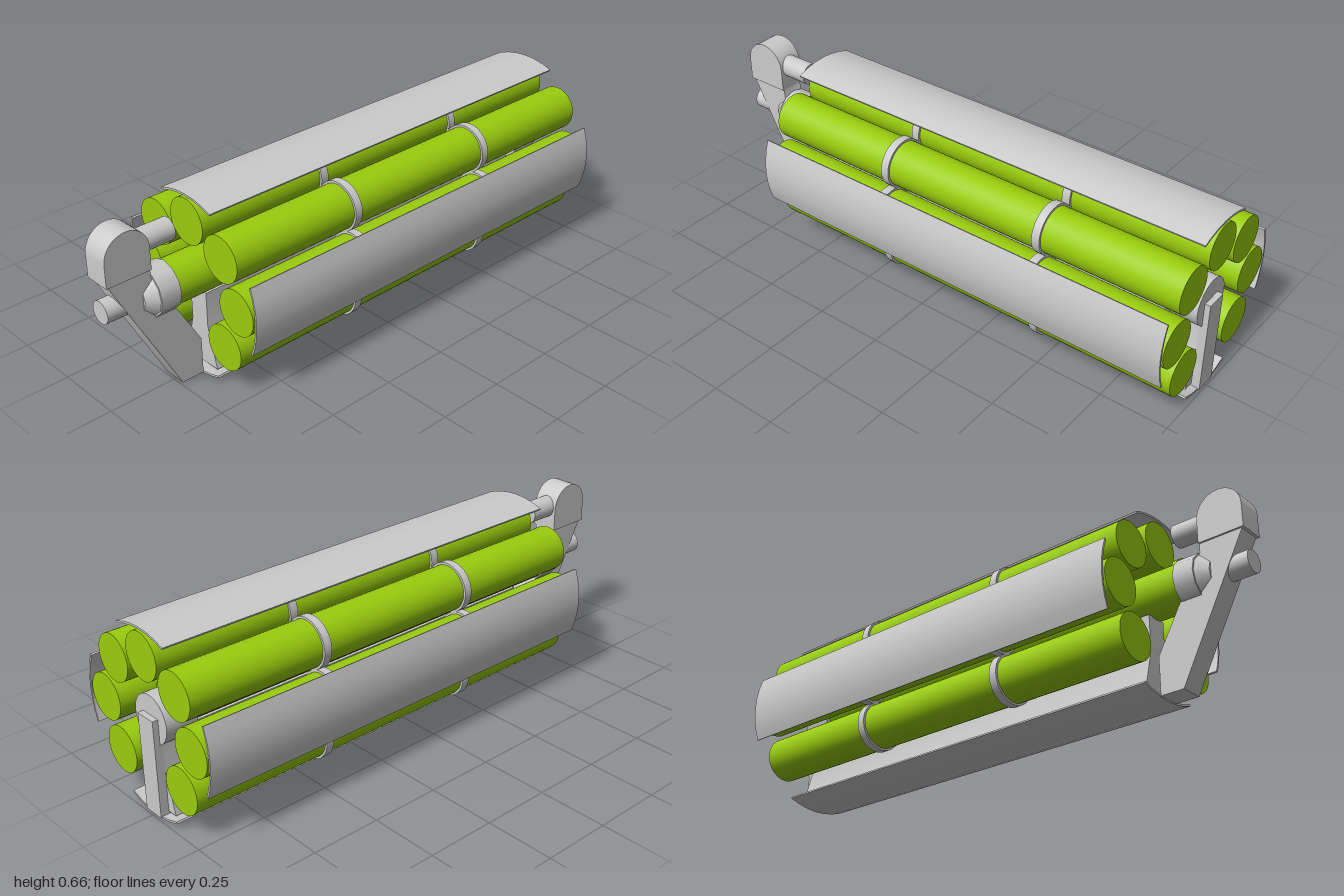
import * as THREE from 'three';
import { toCreasedNormals } from 'three/addons/utils/BufferGeometryUtils.js';

const grey = new THREE.MeshStandardMaterial({ color: 0xcccccc, side: THREE.DoubleSide });
const green = new THREE.MeshStandardMaterial({ color: 0x9acd0e });

const FRONT = 0.66, BACK = -0.99, AXIS = 0.33;

export function createModel() {
  const model = new THREE.Group();

  const add = (name, geometry, material = grey) => {
    const mesh = new THREE.Mesh(geometry, material);
    mesh.name = name;
    model.add(mesh);
    return mesh;
  };

  // Round bar along z between two depths
  const rod = (name, x, y, z0, z1, r0, r1 = r0, material = grey, sides = 40) => {
    const g = new THREE.CylinderGeometry(r1, r0, z1 - z0, sides);
    g.rotateX(Math.PI / 2).translate(x, y, (z0 + z1) / 2);
    return add(name, g, material);
  };

  // Outline in (x, y) run along z
  const alongZ = (name, shape, z0, z1) => {
    const g = new THREE.ExtrudeGeometry(shape, { depth: z1 - z0, bevelEnabled: false });
    return add(name, toCreasedNormals(g.translate(0, 0, z0), 0.5));
  };

  // Outline in (z, y) given width across x
  const acrossX = (name, points, width) => {
    const shape = new THREE.Shape(points.map(([z, y]) => new THREE.Vector2(-z, y)));
    const g = new THREE.ExtrudeGeometry(shape, { depth: width, bevelEnabled: false });
    g.translate(0, 0, -width / 2).rotateY(Math.PI / 2);
    return add(name, toCreasedNormals(g, 0.5));
  };

  // Seven tubes in a ring, open at the bottom, each held by two bands
  for (let i = -1; i <= 5; i++) {
    const a = i * Math.PI / 4;
    const x = 0.232 * Math.cos(a), y = AXIS + 0.232 * Math.sin(a);
    rod('tube', x, y, BACK, FRONT, 0.082, 0.082, green);
    for (const z of [0.15, -0.475]) rod('tubeBand', x, y, z - 0.015, z + 0.015, 0.09);
  }

  // Four thin curved covers around the bundle
  for (let i = 0; i < 4; i++) {
    const middle = i * Math.PI / 2, half = 0.385, steps = 6;
    const points = [];
    for (const [r, dir] of [[0.33, 1], [0.323, -1]]) {
      for (let k = 0; k <= steps; k++) {
        const a = middle + dir * half * (2 * k / steps - 1);
        points.push(new THREE.Vector2(r * Math.cos(a), AXIS + r * Math.sin(a)));
      }
    }
    alongZ('cover', new THREE.Shape(points), BACK, FRONT);
  }

  // Centre tube with its front collar and rear hub
  rod('centreTube', 0, 0.375, -0.9, 0.76, 0.079, 0.079, green);
  rod('collar', 0, 0.375, 0.755, 0.83, 0.086, 0.086, grey, 12);
  rod('collarNose', 0, 0.375, 0.83, 0.87, 0.08, 0.052, grey, 12);
  rod('rearHub', 0, 0.34, -0.975, -0.86, 0.085);

  // Tapered keel under the centre tube, and rear strut
  const keel = new THREE.Shape([[-0.08, 0.02], [0.08, 0.02], [0.04, 0.17], [0.04, 0.3], [-0.04, 0.3], [-0.04, 0.17]]
    .map(([x, y]) => new THREE.Vector2(x, y)));
  alongZ('keel', keel, -0.965, 0.63);
  add('rearStrut', new THREE.BoxGeometry(0.08, 0.35, 0.05).translate(0, 0.18, -0.97));

  // Slanted front arm with a round head
  acrossX('frontArm', [[0.99, 0.56], [0.99, 0.476], [0.745, 0.006], [0.66, 0.006],
    [0.66, 0.14], [0.835, 0.45], [0.84, 0.56]], 0.084);
  const head = [[1, 0.48], [0.835, 0.48]];
  for (let k = 0; k <= 16; k++) {
    const a = Math.PI * (1 - k / 16);
    head.push([0.9175 + 0.0825 * Math.cos(a), 0.563 + 0.0825 * Math.sin(a)]);
  }
  acrossX('armHead', head, 0.098);

  // Pins through the arm
  rod('upperPin', 0, 0.565, 0.73, 0.86, 0.04);
  rod('lowerPin', 0, 0.375, 0.82, 1, 0.04);

  return model;
}
